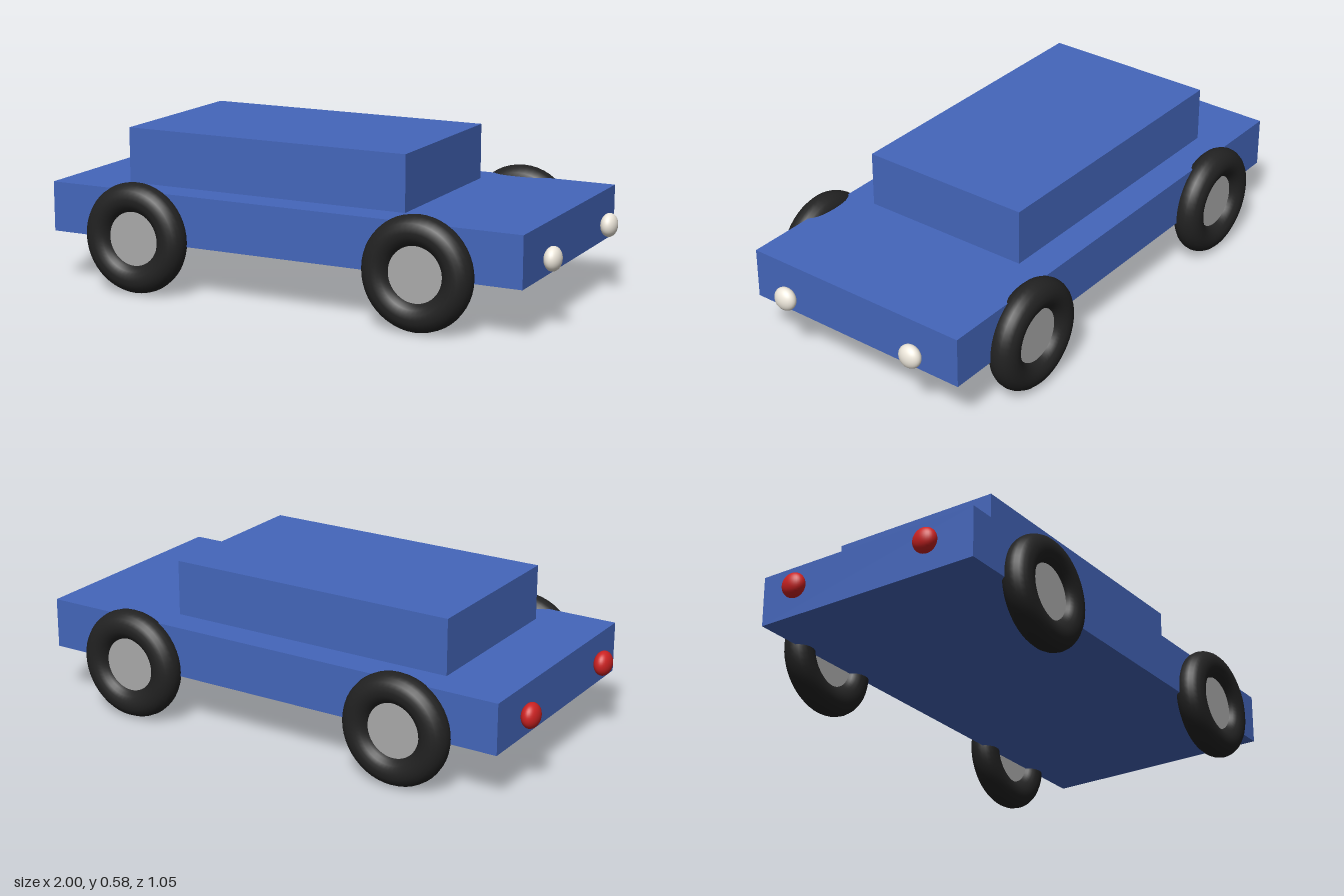
import * as THREE from 'three';

const paint = (color) => new THREE.MeshStandardMaterial({ color });

function add(parent, name, geometry, material, x, y, z) {
  const mesh = new THREE.Mesh(geometry, material);
  mesh.name = name;
  mesh.position.set(x, y, z);
  parent.add(mesh);
  return mesh;
}

export function createModel() {
  const car = new THREE.Group();
  car.name = 'car';
  const blue = paint(0x4466bb);
  const rubber = paint(0x222222);
  const metal = paint(0xaaaaaa);
  const white = paint(0xeee8dc);
  const red = paint(0xcc2222);

  // Slab body with a smaller cabin set towards the back
  add(car, 'body', new THREE.BoxGeometry(1.86, 0.186, 0.894), blue, -0.001, 0.28, 0);
  add(car, 'cabin', new THREE.BoxGeometry(1.117, 0.206, 0.657), blue, -0.113, 0.475, 0);

  // Wheels: ring tyre with a recessed hub disc, axles along z
  const tyreGeometry = new THREE.TorusGeometry(0.15, 0.0545, 20, 48);
  const hubGeometry = new THREE.CylinderGeometry(0.11, 0.11, 0.04, 40).rotateX(Math.PI / 2);
  for (const [end, x] of [['front', 0.558], ['rear', -0.559]]) {
    for (const [side, z] of [['Right', 0.469], ['Left', -0.469]]) {
      const wheel = new THREE.Group();
      wheel.name = `${end}${side}Wheel`;
      wheel.position.set(x, 0.2045, z);
      add(wheel, 'tyre', tyreGeometry, rubber, 0, 0, 0);
      add(wheel, 'hub', hubGeometry, metal, 0, 0, 0);
      car.add(wheel);
    }
  }

  // Lights: flattened balls just off each end of the body
  const headGeometry = new THREE.SphereGeometry(0.0435, 32, 20).scale(0.7, 1, 1);
  const tailGeometry = new THREE.SphereGeometry(0.0455, 32, 20).scale(0.7, 1, 1);
  for (const z of [0.279, -0.279]) {
    add(car, 'headlight', headGeometry, white, 0.9695, 0.261, z);
    add(car, 'tailLight', tailGeometry, red, -0.968, 0.28, z);
  }
  return car;
}
